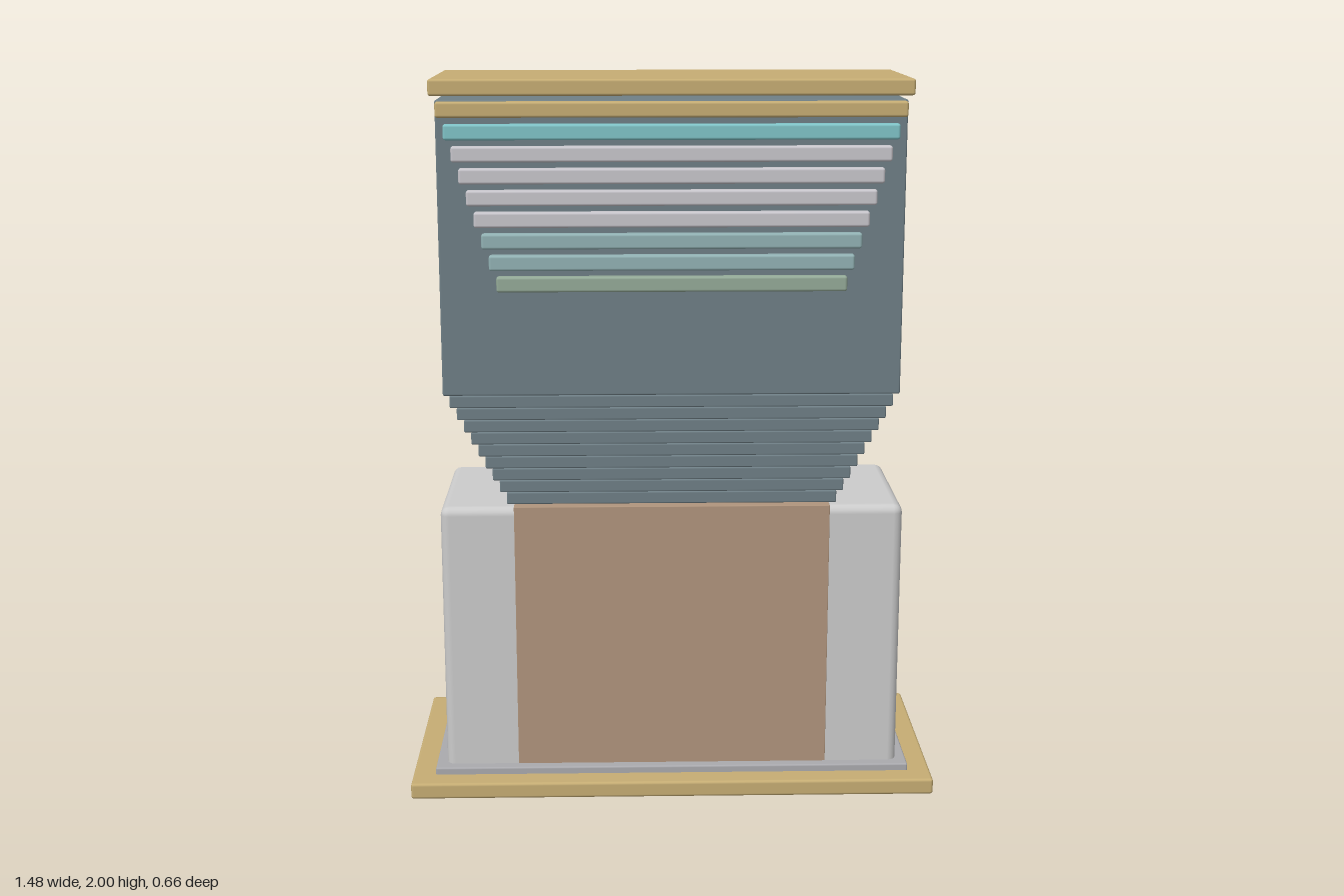
import * as THREE from 'three';
import { RoundedBoxGeometry } from 'three/addons/geometries/RoundedBoxGeometry.js';

const paint = (color) => new THREE.MeshStandardMaterial({ color });

export function createModel() {
  const model = new THREE.Group();
  const gold = paint(0xc6ad74), slate = paint(0x6f7f86), white = paint(0xcccccc);
  const copper = paint(0xb0957d), pale = paint(0xc8c6cc), teal = paint(0x80c4c8);
  const mist = paint(0x92b2b4), sage = paint(0x94aa98), mint = paint(0x96d0c0);

  // Softly bevelled box: half width, y range, z range
  const slab = (name, halfX, y0, y1, z0, z1, material, radius = 0.005) => {
    const mesh = new THREE.Mesh(
      new RoundedBoxGeometry(halfX * 2, y1 - y0, z1 - z0, 2, radius), material);
    mesh.position.set(0, (y0 + y1) / 2, (z0 + z1) / 2);
    mesh.name = name;
    model.add(mesh);
  };

  // Base and plinth
  slab('base', 0.74, 0.004, 0.05, -0.33, 0.33, gold, 0.008);
  slab('plinth', 0.675, 0.04, 0.07, -0.265, 0.265, paint(0xaaaaae));

  // Lower block with a copper core flush with its faces
  slab('lowerBody', 0.645, 0.04, 0.832, -0.235, 0.235, white, 0.025);
  slab('copperCore', 0.44, 0.06, 0.834, -0.236, 0.236, copper, 0.002);

  // Stepped slate neck widening up to the upper block
  const steps = 9, neckBottom = 0.835, neckTop = 1.145;
  const rise = (neckTop - neckBottom) / steps;
  for (let i = 0; i < steps; i++) {
    const y = neckBottom + i * rise;
    slab('neckStep', 0.46 + i * 0.019, y, y + rise, -0.21, 0.21, slate, 0.004);
  }
  slab('upperBody', 0.63, neckTop, 1.948, -0.21, 0.21, slate);

  // Tapering louvre bars on front and back
  const colors = [teal, pale, pale, pale, pale, mist, mist, sage];
  for (const side of [-1, 1]) {
    const bar = (name, halfX, y, material) => {
      const z = [side * 0.205, side * 0.236].sort((a, b) => a - b);
      slab(name, halfX, y - 0.021, y + 0.021, z[0], z[1], material, 0.007);
    };
    bar('topBand', 0.628, 1.924, gold);
    colors.forEach((c, i) => bar('louvre', 0.608 - i * 0.019, 1.865 - i * 0.0583, c));
  }

  // Thin vent bars standing off the back
  for (let i = 0; i < 4; i++) {
    const y = 1.085 + i * 0.0335;
    slab('backVent', 0.517, y - 0.01, y + 0.01, -0.26, -0.239, mint, 0.003);
  }

  // Roof plate
  slab('roof', 0.645, 1.96, 2.004, -0.236, 0.236, gold, 0.007);

  model.position.y = -0.004;
  const root = new THREE.Group();
  root.add(model);
  return root;
}
